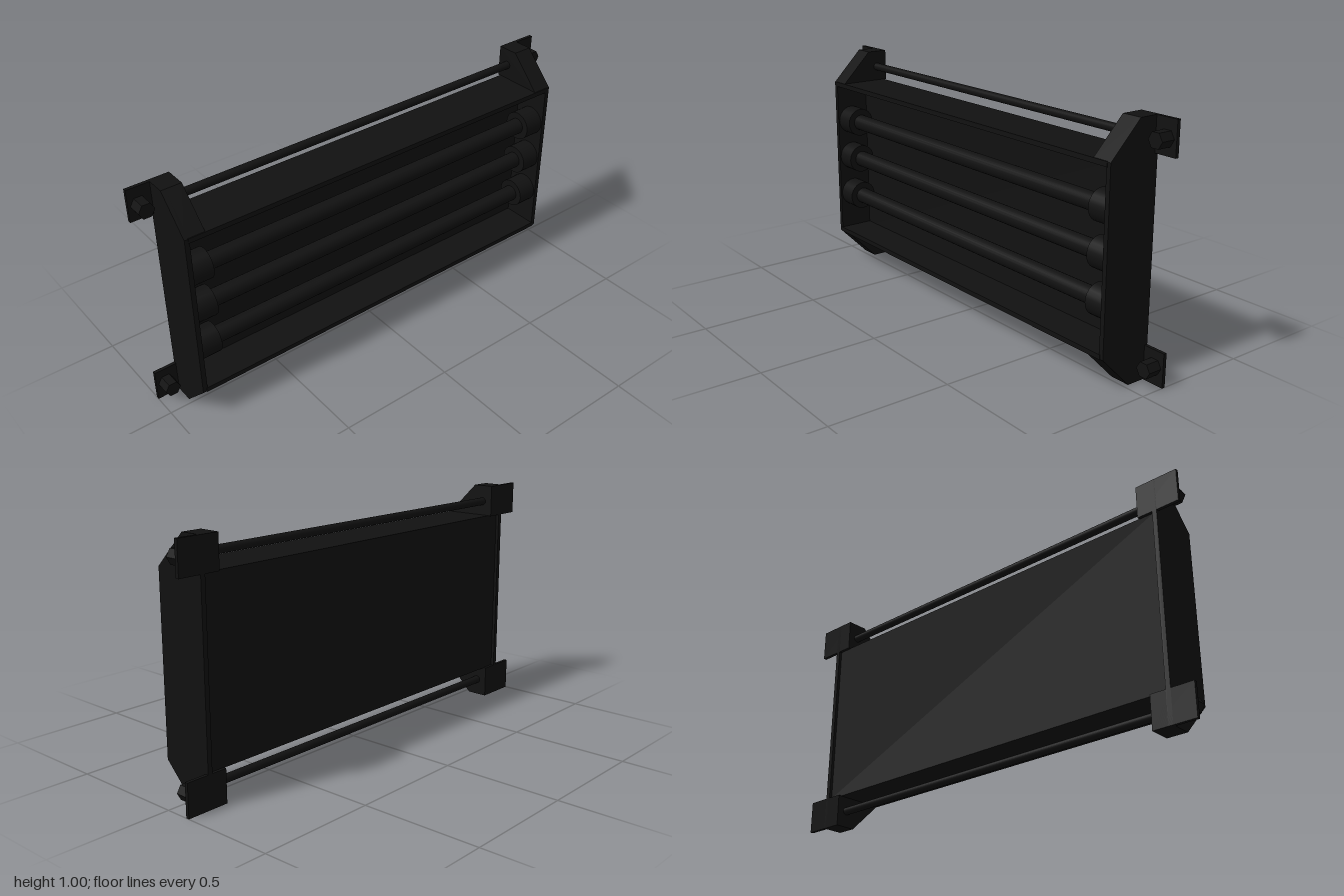
import * as THREE from 'three';

const dark = new THREE.MeshStandardMaterial({ color: 0x111111 });

export function createModel() {
  const model = new THREE.Group();
  const add = (name, geometry, x, y, z) => {
    const mesh = new THREE.Mesh(geometry, dark);
    mesh.name = name;
    mesh.position.set(x, y, z);
    model.add(mesh);
    return mesh;
  };
  const box = (name, w, h, d, x, y, z) => add(name, new THREE.BoxGeometry(w, h, d), x, y, z);
  const bar = (name, r, length, x, y, z) =>
    add(name, new THREE.CylinderGeometry(r, r, length, 24).rotateZ(Math.PI / 2), x, y, z);

  // Plate drawn in the side plane (z, y) and extruded along x
  const sidePlate = (name, points, width, x) => {
    const shape = new THREE.Shape(points.map(([z, y]) => new THREE.Vector2(-z, y)));
    const geometry = new THREE.ExtrudeGeometry(shape, { depth: width, bevelEnabled: false });
    geometry.translate(0, 0, -width / 2).rotateY(Math.PI / 2);
    // rotateY turns shape x (= -z) into -z of the model, so the sign is restored
    return add(name, geometry, x, 0, 0);
  };

  // Open tray: back panel with top and bottom walls
  box('backPanel', 1.78, 0.73, 0.06, 0, 0.5, -0.07);
  for (const y of [0.145, 0.855]) box('trayWall', 1.78, 0.02, 0.155, 0, y, 0.0375);

  // Heating tubes with round sockets at both ends
  for (const y of [0.325, 0.505, 0.68]) {
    bar('tube', 0.035, 1.62, 0, y, 0.045);
    for (const s of [-1, 1]) bar('tubeSocket', 0.063, 0.09, s * 0.843, y, 0.045);
  }

  for (const s of [-1, 1]) {
    // End cheek with chamfered front corners
    sidePlate('endCheek', [
      [-0.113, 0], [-0.022, 0], [0.113, 0.137], [0.113, 0.863], [-0.022, 1], [-0.113, 1],
    ], 0.02, s * 0.895);

    for (const top of [0, 1]) {
      const at = (y) => (top ? 1 - y : y);
      // Wedge-shaped corner block
      const wedge = [[-0.113, 0], [-0.022, 0], [0.113, 0.137], [-0.113, 0.137]];
      sidePlate('cornerBlock', wedge.map(([z, y]) => [z, at(y)]), 0.085, s * 0.8625);
      // Wall bracket and its hexagonal bolt
      box('wallBracket', 0.18, 0.137, 0.014, s * 0.91, at(0.0685), -0.106);
      const bolt = new THREE.CylinderGeometry(0.033, 0.033, 0.06, 6).toNonIndexed();
      bolt.rotateY(Math.PI / 2).rotateX(Math.PI / 2).computeVertexNormals();
      add('bolt', bolt, s * 0.957, at(0.073), -0.07);
    }
  }

  // Long rods above and below the tray
  for (const y of [0.072, 0.928]) bar('rod', 0.017, 1.66, 0, y, -0.065);

  return model;
}
